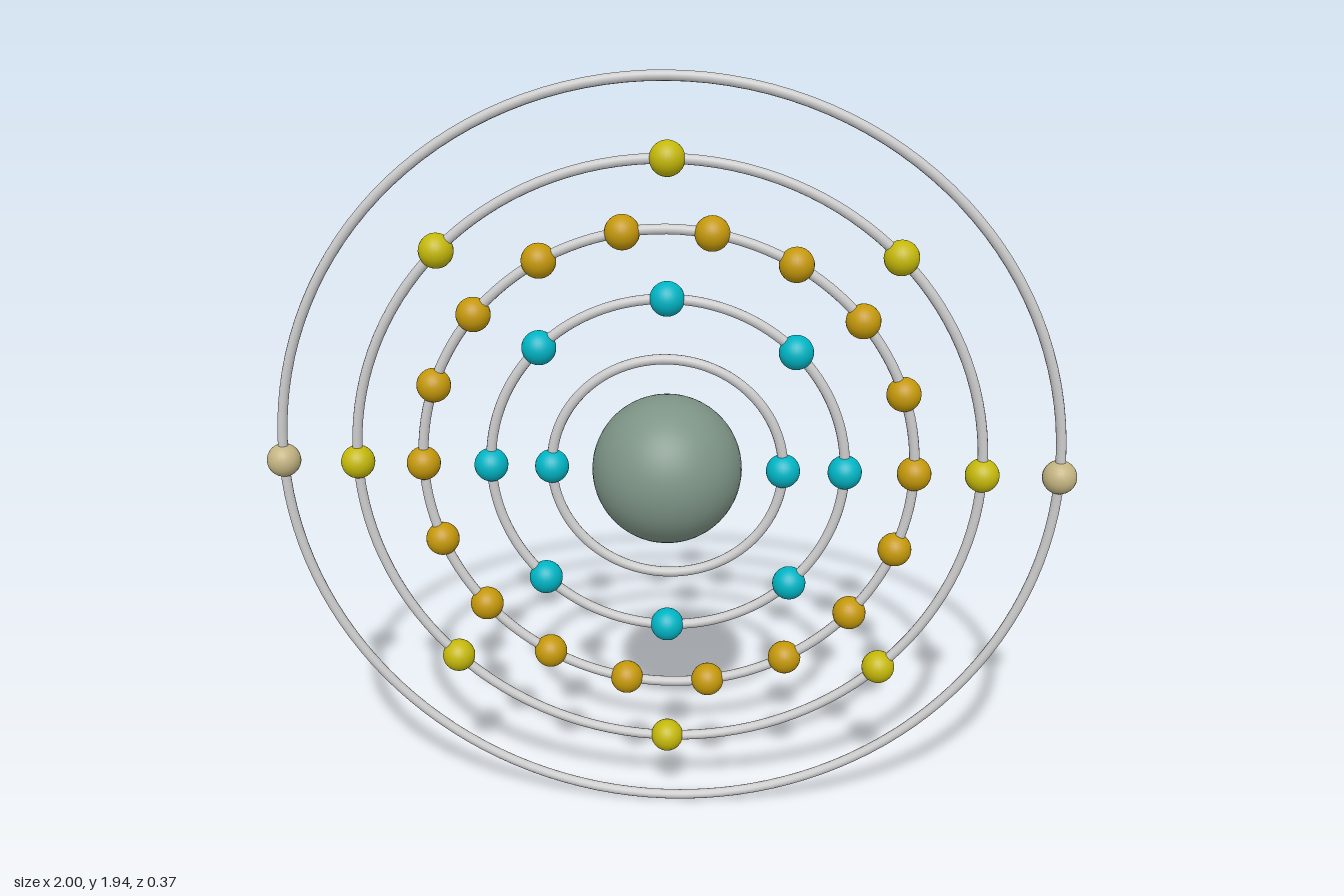
import * as THREE from 'three';

const CENTER_Y = 0.97;
const TUBE = 0.0125;
const ELECTRON = 0.042;

// One entry per shell: orbit radius, evenly spaced electrons, electron colour
const SHELLS = [
  { radius: 0.285, count: 2, color: 0x00b4c4 },
  { radius: 0.436, count: 8, color: 0x00b4c4 },
  { radius: 0.605, count: 18, color: 0xc4980a },
  { radius: 0.77, count: 8, color: 0xc4b80a },
  { radius: 0.957, count: 2, color: 0xc4b482 },
];

export function createModel() {
  const model = new THREE.Group();
  model.name = 'atomModel';

  // Nucleus
  const nucleus = new THREE.Mesh(
    new THREE.SphereGeometry(0.184, 48, 32),
    new THREE.MeshStandardMaterial({ color: 0x7d9486 })
  );
  nucleus.name = 'nucleus';
  nucleus.position.y = CENTER_Y;
  model.add(nucleus);

  // Orbit rings with their electrons
  const ringMaterial = new THREE.MeshStandardMaterial({ color: 0xcccccc });
  const electronGeometry = new THREE.SphereGeometry(ELECTRON, 24, 16);

  SHELLS.forEach(({ radius, count, color }, i) => {
    const shell = new THREE.Group();
    shell.name = `shell${i + 1}`;
    shell.position.y = CENTER_Y;

    const ring = new THREE.Mesh(new THREE.TorusGeometry(radius, TUBE, 12, 128), ringMaterial);
    ring.name = 'orbitRing';
    shell.add(ring);

    const material = new THREE.MeshStandardMaterial({ color });
    for (let k = 0; k < count; k++) {
      const angle = (k / count) * Math.PI * 2;
      const electron = new THREE.Mesh(electronGeometry, material);
      electron.name = 'electron';
      electron.position.set(radius * Math.cos(angle), radius * Math.sin(angle), 0);
      shell.add(electron);
    }
    model.add(shell);
  });

  return model;
}
